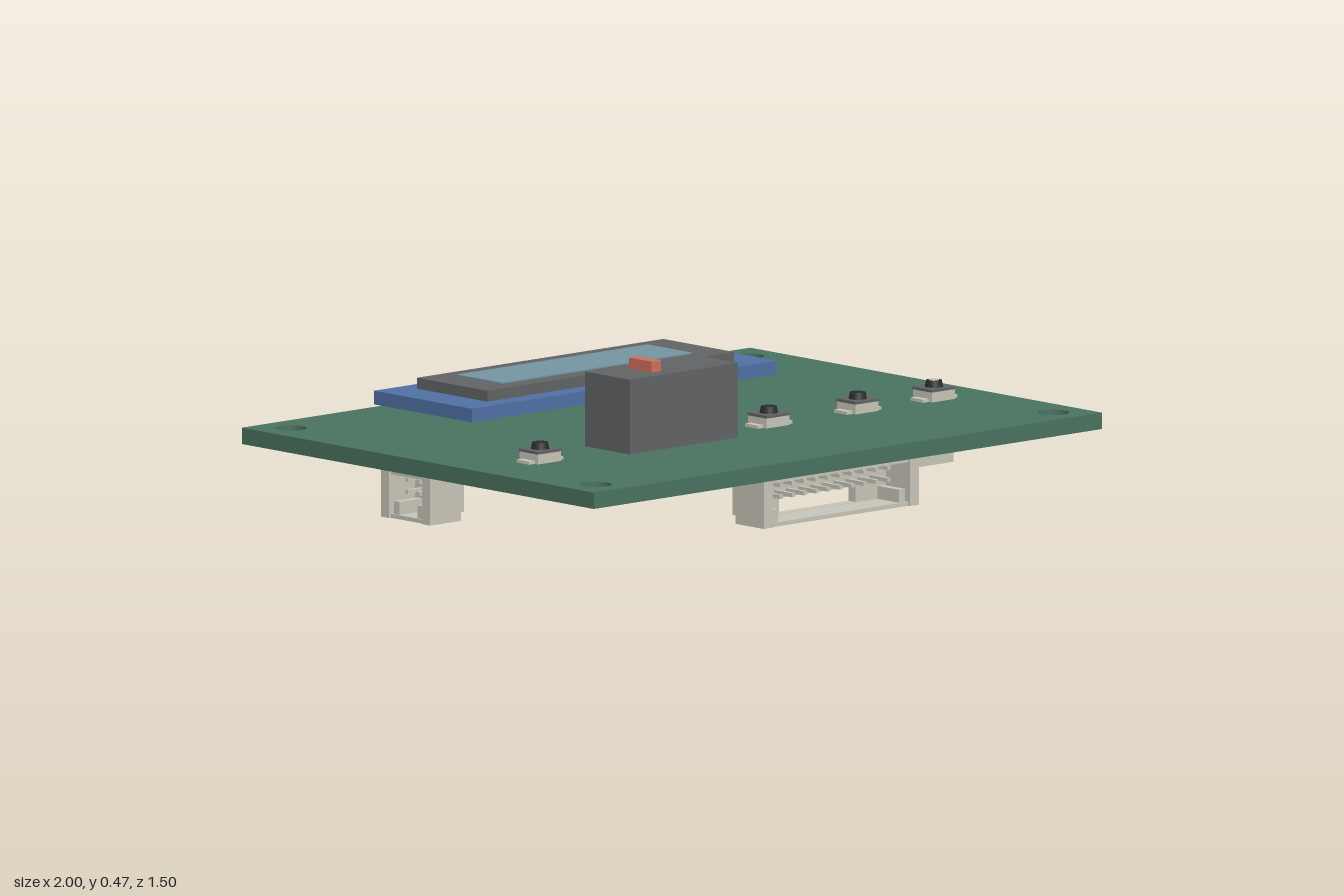
import * as THREE from 'three';

const mat = (name, color) => {
  const m = new THREE.MeshStandardMaterial({ color });
  m.name = name;
  return m;
};

export function createModel() {
  const green = mat('board green', 0x4a7260);
  const blue = mat('display blue', 0x5070a4);
  const grey = mat('dark grey', 0x626365);
  const black = mat('black', 0x2b2c2d);
  const red = mat('knob red', 0xd0705c);
  const cream = mat('connector cream', 0xc8c6b9);
  const glass = mat('screen glass', 0x7496a2);

  const model = new THREE.Group();
  model.name = 'circuitBoardAssembly';

  const add = (parent, name, geometry, material) => {
    const mesh = new THREE.Mesh(geometry, material);
    mesh.name = name;
    parent.add(mesh);
    return mesh;
  };
  // Box given by its limits on each axis
  const box = (parent, name, material, x0, x1, y0, y1, z0, z1) => {
    const g = new THREE.BoxGeometry(x1 - x0, y1 - y0, z1 - z0);
    g.translate((x0 + x1) / 2, (y0 + y1) / 2, (z0 + z1) / 2);
    return add(parent, name, g, material);
  };
  const group = (name, x, z, turn = 0) => {
    const g = new THREE.Group();
    g.name = name;
    g.position.set(x, 0, z);
    g.rotation.y = turn;
    model.add(g);
    return g;
  };
  const rect = (C, x0, x1, y0, y1) => {
    const p = new C();
    p.moveTo(x0, y0).lineTo(x1, y0).lineTo(x1, y1).lineTo(x0, y1).closePath();
    return p;
  };
  const extrude = (shape, depth) =>
    new THREE.ExtrudeGeometry(shape, { depth, bevelEnabled: false, curveSegments: 16 });

  // Board with four mounting holes
  const outline = rect(THREE.Shape, -1, 1, -0.75, 0.75);
  for (const x of [-0.9, 0.9]) for (const y of [-0.65, 0.65]) {
    const hole = new THREE.Path();
    hole.absarc(x, y, 0.046, 0, Math.PI * 2, true);
    outline.holes.push(hole);
  }
  const board = extrude(outline, 0.048);
  board.rotateX(-Math.PI / 2).translate(0, 0.169, 0);
  add(model, 'board', board, green);

  // Display module
  box(model, 'displayBase', blue, -0.6, 0.6, 0.255, 0.295, -0.62, -0.203);
  box(model, 'displayBezel', grey, -0.485, 0.485, 0.295, 0.327, -0.562, -0.262);
  box(model, 'displayScreen', glass, -0.378, 0.373, 0.324, 0.331, -0.508, -0.318);

  // Slide switch
  box(model, 'switchBody', grey, -0.484, -0.058, 0.217, 0.436, 0.153, 0.345);
  box(model, 'switchKnob', red, -0.355, -0.318, 0.436, 0.468, 0.202, 0.298);
  for (const x of [-0.44, -0.265, -0.09])
    box(model, 'switchPin', cream, x - 0.01, x + 0.01, 0.107, 0.17, 0.243, 0.257);

  // Push buttons
  [-0.75, 0.15, 0.5, 0.8].forEach((x, i) => {
    const b = group('pushButton', x, 0.25);
    box(b, 'buttonBase', cream, -0.045, 0.045, 0.217, 0.246, -0.04, 0.04);
    box(b, 'buttonCover', grey, -0.046, 0.046, 0.246, 0.254, -0.041, 0.041);
    for (const s of [-1, 1]) {
      const tab = box(b, 'buttonTerminal', cream, -0.013, 0.013, 0.217, 0.226, -0.027, 0.027);
      tab.position.x = s * 0.055;
    }
    add(b, 'buttonPlunger', new THREE.CylinderGeometry(0.023, 0.027, 0.02, 20), black)
      .position.y = 0.263;
    if (i === 3) add(b, 'buttonCap', new THREE.CylinderGeometry(0.015, 0.015, 0.003, 20), cream)
      .position.y = 0.274;
  });

  // Edge connectors under the board, mating side towards local +z
  const edgeConnector = (x, z, turn, width, pins, slot) => {
    const c = group('edgeConnector', x, z, turn);
    const h = width / 2;
    const profile = new THREE.Shape([
      [0.067, 0.025], [0.067, 0.168], [-0.045, 0.168], [-0.045, 0.14],
      [-0.067, 0.14], [-0.067, 0.05], [-0.055, 0.05], [-0.055, 0.025],
    ].map(([a, b]) => new THREE.Vector2(-a, b)));
    const side = extrude(profile, 0.035);
    side.rotateY(Math.PI / 2);
    for (const x0 of [-h, h - 0.035])
      add(c, 'connectorSide', side, cream).position.x = x0;
    box(c, 'connectorFloor', cream, -h + 0.03, h - 0.03, 0.025, 0.037, -0.055, 0.06);
    box(c, 'connectorTop', cream, -h + 0.03, h - 0.03, 0.153, 0.168, -0.045, 0.06);
    const back = rect(THREE.Shape, -h + 0.03, h - 0.03, 0.03, 0.16);
    back.holes.push(rect(THREE.Path, -slot, slot, 0.038, 0.085));
    add(c, 'connectorBack', extrude(back, 0.03), cream).position.z = -0.066;
    // Inner corner ribs, contacts and solder tails
    for (const s of [-1, 1])
      box(c, 'connectorRib', cream, -0.012, 0.012, 0.037, 0.075, -0.04, 0.055)
        .position.x = s * (h - 0.055);
    for (let i = 0; i < pins; i++) {
      const px = (i - (pins - 1) / 2) * 0.047;
      for (const y of [0.105, 0.14])
        box(c, 'contact', cream, px - 0.006, px + 0.006, y - 0.006, y + 0.006, -0.04, 0.04);
      box(c, 'solderTail', cream, px - 0.008, px + 0.008, 0.155, 0.169, -0.1, -0.04);
    }
  };
  edgeConnector(0, 0.655, 0, 0.61, 10, 0.15);
  edgeConnector(0, -0.653, Math.PI, 0.61, 10, 0.15);
  edgeConnector(-0.908, -0.08, -Math.PI / 2, 0.21, 2, 0.04);

  // Large power socket, open towards +x
  const p = group('powerSocket', 0, 0);
  box(p, 'socketFloor', cream, 0.72, 0.97, 0, 0.024, -0.246, 0.149);
  box(p, 'socketTop', cream, 0.78, 0.97, 0.144, 0.163, -0.246, 0.149);
  box(p, 'socketBack', cream, 0.72, 0.785, 0.02, 0.144, -0.246, 0.149);
  for (const [a, b] of [[-0.246, -0.224], [0.127, 0.149]])
    box(p, 'socketSide', cream, 0.78, 0.97, 0.02, 0.148, a, b);
  box(p, 'socketSeat', cream, 0.79, 0.96, 0.16, 0.17, -0.13, 0.03);
  for (let i = 0; i < 4; i++) {
    const z = 0.05 - i * 0.066;
    box(p, 'socketPin', cream, 0.78, 0.93, 0.106, 0.12, z - 0.007, z + 0.007);
  }

  // Chips under the board
  for (const x of [0.275, -0.09]) {
    const c = group('chip', x, -0.315);
    box(c, 'chipBody', black, -0.028, 0.028, 0.127, 0.162, -0.05, 0.05);
    for (const s of [-1, 1]) for (const z of [-0.032, 0, 0.032])
      box(c, 'chipLeg', black, -0.012, 0.012, 0.148, 0.169, z - 0.008, z + 0.008)
        .position.x = s * 0.038;
  }

  // Small surface parts under the board
  const smallParts = [
    [0.6, -0.25], [0.465, -0.25], [0.29, -0.23], [0.21, -0.1], [0.115, -0.1],
    [0.085, -0.22], [0.12, -0.335], [-0.14, -0.1], [-0.24, -0.1], [-0.25, -0.23],
    [-0.25, -0.345], [-0.09, -0.22], [-0.54, 0.07],
  ];
  smallParts.forEach(([x, z], i) => {
    const c = group('smallPart', x, z);
    const low = i === 12 ? 0.154 : 0.142;
    box(c, 'smallPartBody', grey, -0.014, 0.014, low + 0.002, 0.169, -0.014, 0.014);
    for (const s of [-1, 1])
      box(c, 'smallPartEnd', cream, -0.006, 0.006, low, 0.169, -0.015, 0.015)
        .position.x = s * 0.019;
  });

  return model;
}
